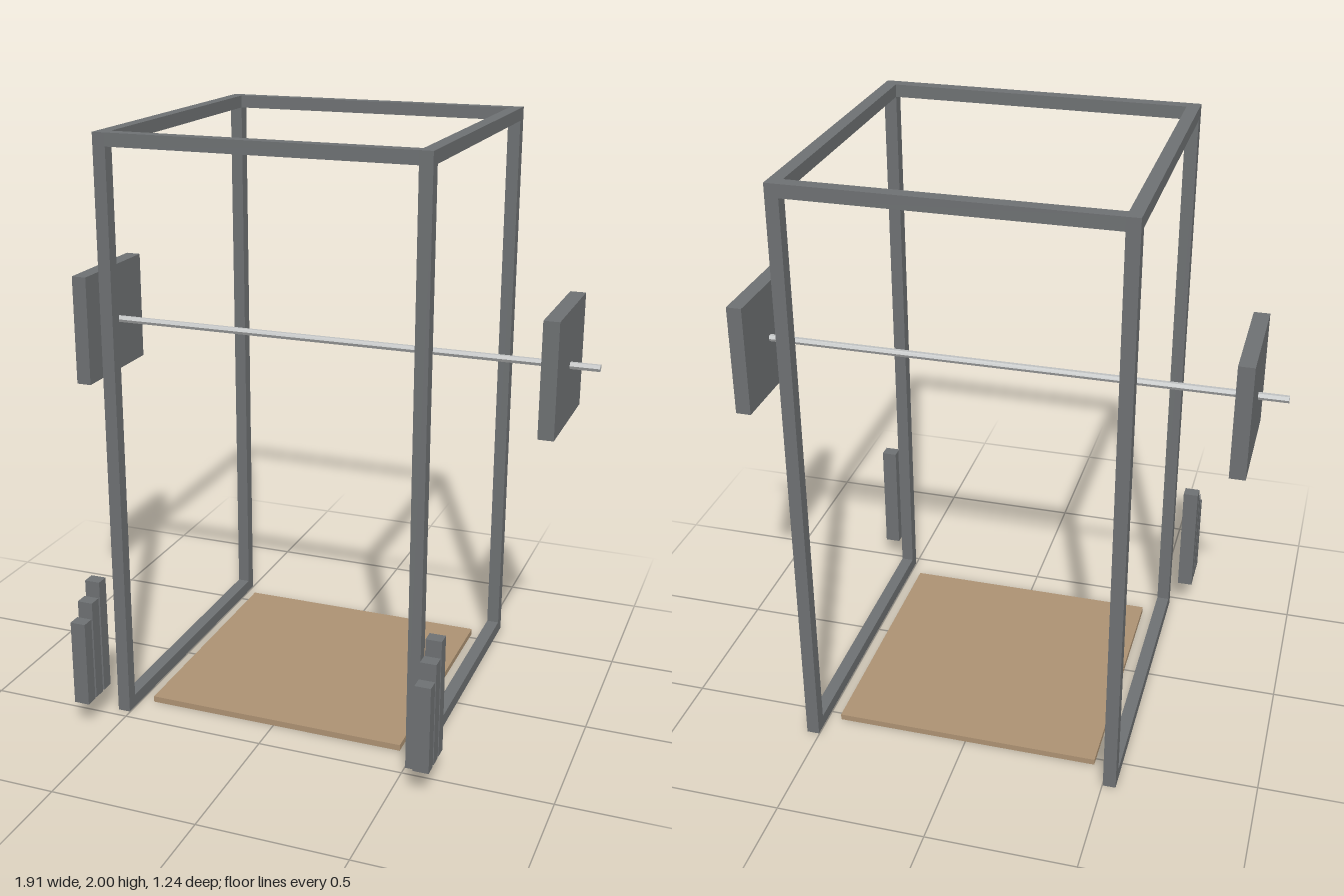
import * as THREE from 'three';

export function createModel() {
  const model = new THREE.Group();
  model.name = 'powerRack';

  const steel = new THREE.MeshStandardMaterial({ color: 0x6e7173 });
  steel.name = 'dark grey steel';
  const chrome = new THREE.MeshStandardMaterial({ color: 0xbfc1c1 });
  chrome.name = 'light grey bar';
  const wood = new THREE.MeshStandardMaterial({ color: 0xad9273 });
  wood.name = 'tan wood';

  // Box given by its size and centre
  function box(name, material, w, h, d, x, y, z) {
    const mesh = new THREE.Mesh(new THREE.BoxGeometry(w, h, d), material);
    mesh.name = name;
    mesh.position.set(x, y, z);
    model.add(mesh);
  }

  const tube = 0.043;
  const left = 0.545, front = 0.467, back = -0.622;
  const postX = left - tube / 2;
  const depth = front - back;
  const midZ = (front + back) / 2;
  const railLength = depth - 2 * tube;

  for (const side of [1, -1]) {
    const label = side > 0 ? 'left' : 'right';
    const x = side * postX;

    // Uprights with the side rails between them
    box(label + 'FrontPost', steel, tube, 2, tube, x, 1, front - tube / 2);
    box(label + 'BackPost', steel, tube, 2, tube, x, 1, back + tube / 2);
    box(label + 'TopRail', steel, tube, tube, railLength, x, 2 - tube / 2, midZ);
    box(label + 'BottomRail', steel, tube, tube, railLength, x, tube / 2, midZ);

    // Square weight on the bar
    box(label + 'BarWeight', steel, 0.053, 0.39, 0.408, side * 0.83, 1.245, -0.103);

    // Stored weights, stepping down toward the front
    [0.5, 0.447, 0.393].forEach((top, i) => {
      const bottom = 0.095;
      box(label + 'StoredWeight' + (i + 1), steel, 0.053, top - bottom, 0.045,
        side * 0.599, (top + bottom) / 2, 0.49 + i * 0.0545);
    });
  }

  // Cross rails at the top
  const crossLength = 2 * (left - tube);
  box('frontTopRail', steel, crossLength, tube, tube, 0, 2 - tube / 2, front - tube / 2);
  box('backTopRail', steel, crossLength, tube, tube, 0, 2 - tube / 2, back + tube / 2);

  // Floor platform
  box('platform', wood, 0.908, 0.021, 0.905, 0, 0.0105, -0.078);

  // Six-sided lifting bar
  const barGeometry = new THREE.CylinderGeometry(0.0125, 0.0125, 1.91, 6).toNonIndexed();
  barGeometry.computeVertexNormals();
  const bar = new THREE.Mesh(barGeometry, chrome);
  bar.name = 'liftingBar';
  bar.rotation.z = Math.PI / 2;
  bar.position.set(0, 1.245, -0.103);
  model.add(bar);

  return model;
}
